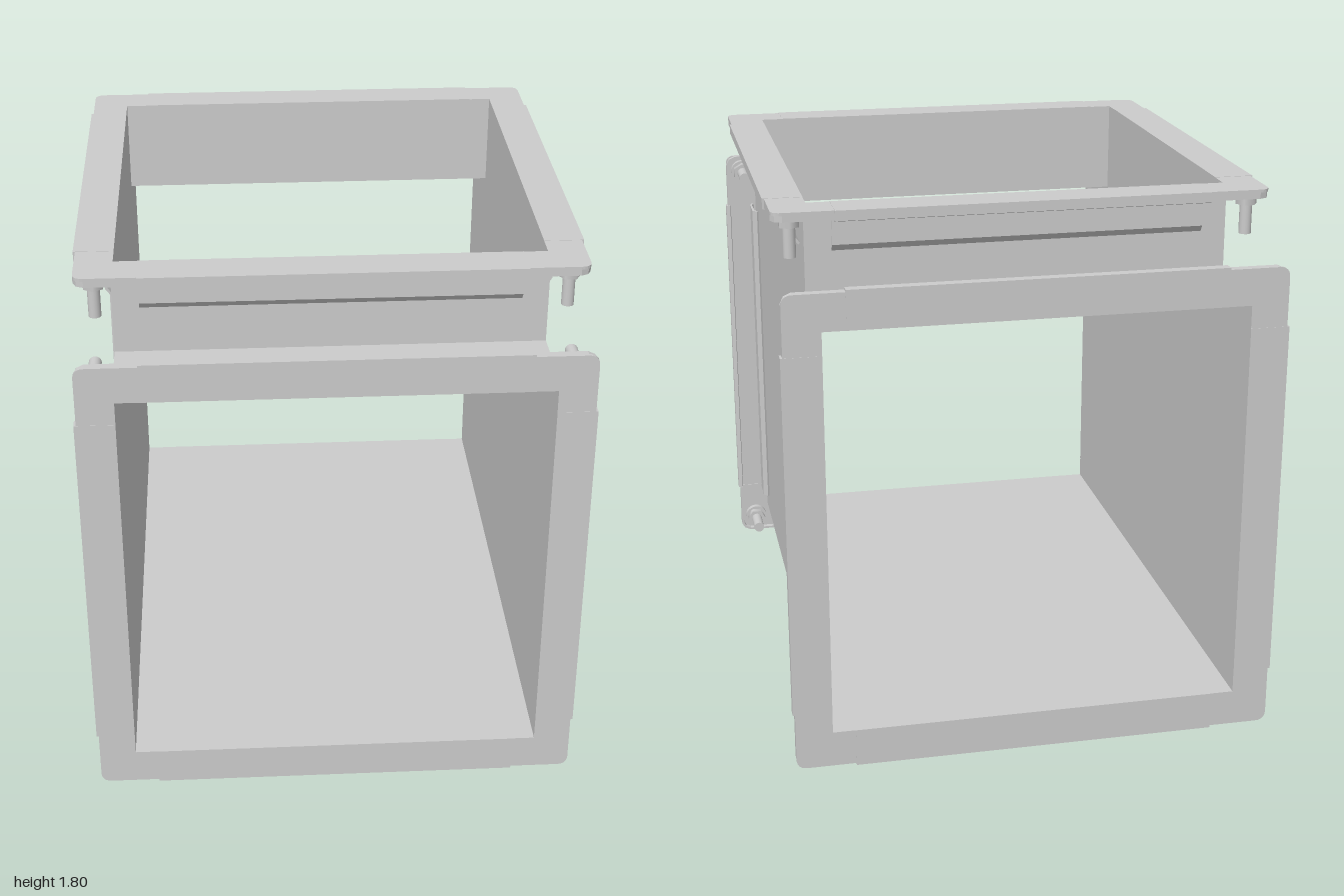
import * as THREE from 'three';

const grey = new THREE.MeshStandardMaterial({ color: 0xcccccc, side: THREE.DoubleSide });
const INNER = 0.675, OUTER = 0.8, HALF_RAIL = 0.6, MID_Y = 0.805, TOP_Y = 1.8;
const LOW = MID_Y - INNER, HIGH = MID_Y + INNER, WALL = 0.01;

function mesh(name, geometry, x = 0, y = 0, z = 0) {
  const m = new THREE.Mesh(geometry, grey);
  m.name = name;
  m.position.set(x, y, z);
  return m;
}

const toShape = pts => new THREE.Shape(pts.map(p => new THREE.Vector2(p[0], p[1])));

const extrude = (shape, depth) =>
  new THREE.ExtrudeGeometry(shape, { depth, bevelEnabled: false, curveSegments: 6 });

// Sheet-metal outline: a centre line thickened with mitred corners
function strip(pts, t = 0.008) {
  const p = pts.map(a => new THREE.Vector2(a[0], a[1]));
  const normal = i => {
    const d = p[i + 1].clone().sub(p[i]).normalize();
    return new THREE.Vector2(-d.y, d.x);
  };
  const left = [], right = [];
  p.forEach((a, i) => {
    const n0 = normal(Math.max(i - 1, 0)), n1 = normal(Math.min(i, p.length - 2));
    const n = n0.clone().add(n1).normalize();
    n.multiplyScalar(t / 2 / n.dot(n1));
    left.push(a.clone().add(n));
    right.unshift(a.clone().sub(n));
  });
  return new THREE.Shape([...left, ...right]);
}

// Geometry shared by all flanges; face lies at z = 0, flange reaches to -z
const alongRail = shape =>
  extrude(shape, 2 * HALF_RAIL).rotateX(Math.PI / 2).translate(0, HALF_RAIL, 0);

const railFace = alongRail(strip([
  [INNER, -0.004], [OUTER - 0.002, -0.004], [OUTER - 0.002, -0.03], [OUTER - 0.014, -0.034]]));
const railLeg = alongRail(strip([[0.69, -0.15], [0.705, -0.13], [0.705, -0.04], [0.698, -0.008]]));

const E = OUTER - 0.005, C = E - 0.035;
const cornerShape = new THREE.Shape();
cornerShape.moveTo(HALF_RAIL, INNER);
cornerShape.lineTo(INNER, INNER);
cornerShape.lineTo(INNER, HALF_RAIL);
cornerShape.lineTo(E, HALF_RAIL);
cornerShape.lineTo(E, C);
cornerShape.quadraticCurveTo(E, E, C, E);
cornerShape.lineTo(HALF_RAIL, E);
const cornerPlate = extrude(cornerShape, 0.01).translate(0, 0, -0.011);
const L = E - 0.004;
const cornerLip = extrude(strip([
  [L, HALF_RAIL], [L, C], [L - 0.01, L - 0.01], [C, L], [HALF_RAIL, L]]), 0.029).translate(0, 0, -0.031);

const rod = (r, length, sides) => new THREE.CylinderGeometry(r, r, length, sides).rotateX(Math.PI / 2);
const washer = rod(0.042, 0.022, 24), nut = rod(0.035, 0.026, 6), shank = rod(0.02, 0.145, 16);

// Square flange: four rails, four corner pieces and four bolts
function flange(name) {
  const g = new THREE.Group();
  g.name = name;
  for (let i = 0; i < 4; i++) {
    const side = new THREE.Group();
    side.name = 'flangeSide';
    side.rotation.z = i * Math.PI / 2;
    side.add(
      mesh('railFace', railFace),
      mesh('railLeg', railLeg),
      mesh('cornerPlate', cornerPlate),
      mesh('cornerLip', cornerLip),
      mesh('washer', washer, 0.735, 0.735, -0.021),
      mesh('nut', nut, 0.735, 0.735, -0.045),
      mesh('boltShank', shank, 0.735, 0.735, -0.083));
    g.add(side);
  }
  return g;
}

export function createModel() {
  const model = new THREE.Group();
  model.name = 'ductTee';
  const end = 0.995, mid = INNER + WALL / 2, width = 2 * (INNER + WALL);

  // T-shaped side walls, drawn in (z, y)
  const wallShape = toShape([
    [-end, LOW - WALL], [end, LOW - WALL], [end, HIGH + WALL], [INNER + WALL, HIGH + WALL],
    [INNER + WALL, TOP_Y - 0.005], [-INNER - WALL, TOP_Y - 0.005],
    [-INNER - WALL, HIGH + WALL], [-end, HIGH + WALL]]);
  const wall = extrude(wallShape, WALL).translate(0, 0, -WALL / 2).rotateY(-Math.PI / 2);
  for (const s of [1, -1]) model.add(mesh(s > 0 ? 'leftWall' : 'rightWall', wall, s * mid));

  // Floor, short roof panels and the front and back of the neck
  model.add(mesh('floorPanel', new THREE.BoxGeometry(width, WALL, 2 * end), 0, LOW - WALL / 2, 0));
  const roof = new THREE.BoxGeometry(width, WALL, end - INNER);
  const neckHeight = TOP_Y - 0.005 - HIGH;
  const neck = new THREE.BoxGeometry(width, neckHeight, WALL);
  for (const s of [1, -1]) {
    model.add(
      mesh('roofPanel', roof, 0, HIGH + WALL / 2, s * (INNER + end) / 2),
      mesh('neckPanel', neck, 0, HIGH + neckHeight / 2, s * mid));
  }

  // Flanges on the three openings
  const front = flange('frontFlange');
  front.position.set(0, MID_Y, 1);
  const back = flange('backFlange');
  back.position.set(0, MID_Y, -1);
  back.rotation.y = Math.PI;
  const top = flange('topFlange');
  top.position.set(0, TOP_Y, 0);
  top.rotation.x = -Math.PI / 2;
  model.add(front, back, top);
  return model;
}
